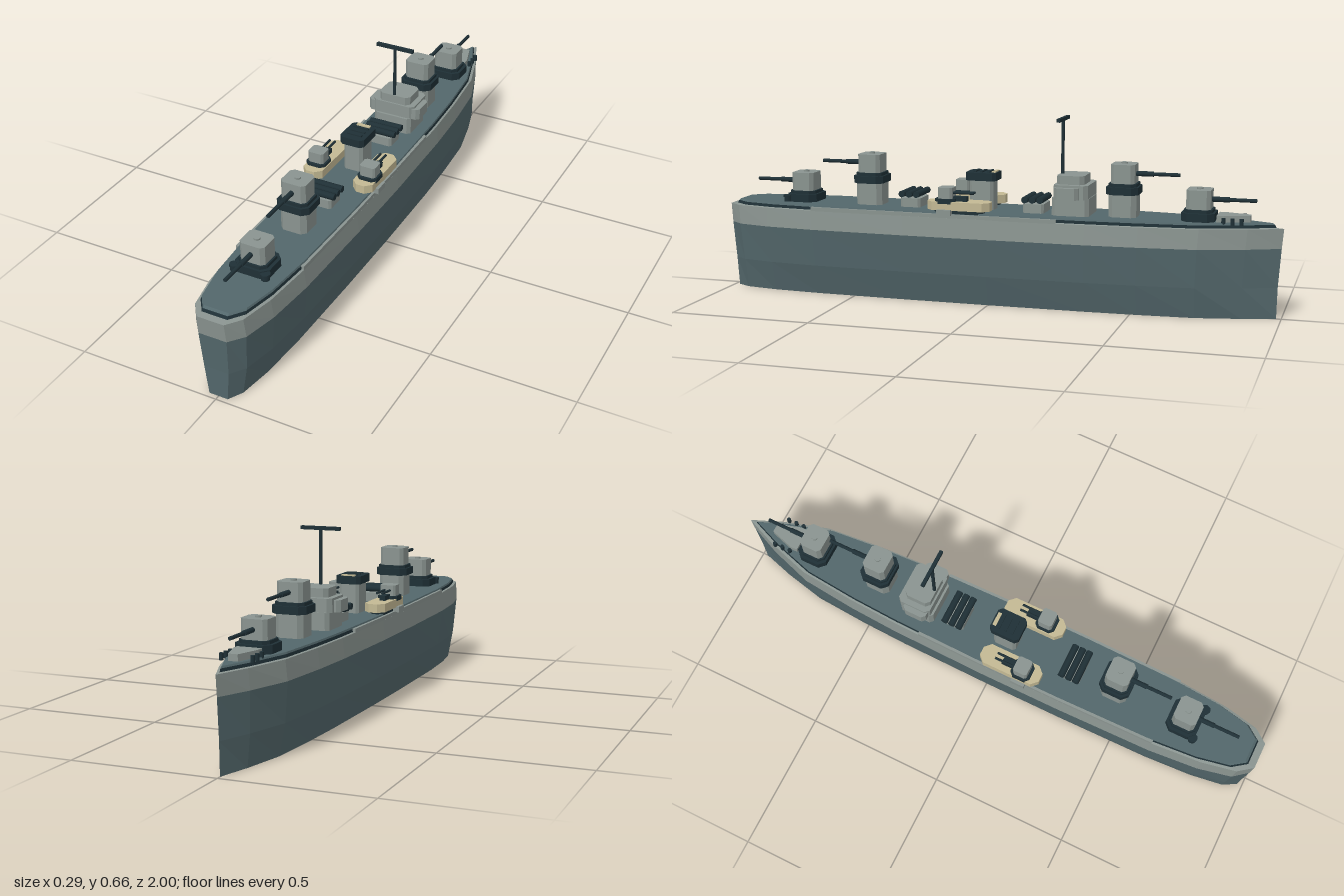
import * as THREE from 'three';

const mat = (name, color) => Object.assign(new THREE.MeshStandardMaterial({ color }), { name });

export function createModel() {
  const ship = new THREE.Group();
  ship.name = 'warship';
  const slate = mat('slate hull and deck', 0x53676b);
  const grey = mat('light grey', 0x8a9490);
  const dark = mat('dark blue grey', 0x1f3036);
  const cream = mat('cream', 0xc3b994);

  const add = (parent, name, geometry, material, x = 0, y = 0, z = 0) => {
    const m = new THREE.Mesh(geometry, material);
    m.name = name;
    m.position.set(x, y, z);
    parent.add(m);
    return m;
  };
  const group = (name, x, y, z) => {
    const g = new THREE.Group();
    g.name = name;
    g.position.set(x, y, z);
    ship.add(g);
    return g;
  };
  const box = (w, h, d) => new THREE.BoxGeometry(w, h, d);

  // Upright prism from an outline of [x, z] points, standing on y = 0
  const prism = (points, h) => {
    const shape = new THREE.Shape(points.map(([x, z]) => new THREE.Vector2(x, -z)));
    return new THREE.ExtrudeGeometry(shape, { depth: h, bevelEnabled: false }).rotateX(-Math.PI / 2);
  };
  // Rectangle with cut corners, given half width, half depth and cut
  const cutBlock = (w, d, c, h) => prism([
    [w, d - c], [w, -d + c], [w - c, -d], [-w + c, -d],
    [-w, -d + c], [-w, d - c], [-w + c, d], [w - c, d]], h);
  const rod = (r, length, sides = 8) => new THREE.CylinderGeometry(r, r, length, sides);

  // Hull plan from bow (-z) to stern (+z)
  const half = [[0.05, -0.885], [0.1, -0.73], [0.12, -0.53], [0.13, -0.35], [0.137, 0],
    [0.137, 0.3], [0.131, 0.65], [0.116, 0.83], [0.09, 0.95], [0.05, 1]];
  const plan = [[0, -1], ...half, ...half.map(([x, z]) => [-x, z]).reverse()];
  const ring = (y, sx, sz) => plan.map(([x, z]) => [x * sx, y, z * sz]);

  // Faceted skin between successive rings, with optional flat ends
  function loft(rings, bottom, top) {
    const v = [];
    const n = plan.length;
    const tri = (...p) => p.forEach(q => v.push(...q));
    for (let i = 0; i < n; i++) {
      const j = (i + 1) % n;
      for (let k = 0; k + 1 < rings.length; k++) {
        const lo = rings[k], hi = rings[k + 1];
        tri(lo[i], hi[i], hi[j]);
        tri(lo[i], hi[j], lo[j]);
      }
      const first = rings[0], last = rings[rings.length - 1];
      if (bottom) tri([0, first[0][1], 0], first[i], first[j]);
      if (top) tri([0, last[0][1], 0], last[j], last[i]);
    }
    const g = new THREE.BufferGeometry();
    g.setAttribute('position', new THREE.Float32BufferAttribute(v, 3));
    g.computeVertexNormals();
    return g;
  }

  const belt = ring(0.24, 1, 0.994);
  const rim = ring(0.308, 0.95, 1);
  const step = ring(0.31, 0.9, 0.975);
  const edge = ring(0.32, 0.885, 0.97);
  add(ship, 'lowerHull', loft([ring(0, 0.67, 0.983), ring(0.107, 0.88, 0.985), belt], true, false), slate);
  add(ship, 'upperHull', loft([belt, rim, step], false, false), grey);
  add(ship, 'deckEdge', loft([step, edge], false, false), dark);
  add(ship, 'deck', loft([edge, ring(0.326, 0.87, 0.962)], false, true), slate);

  // Low bulwarks along the deck edge
  for (const s of [-1, 1]) {
    const line = [[0.127, -0.25], [0.13, 0], [0.13, 0.3], [0.125, 0.65],
      [0.11, 0.65], [0.115, 0.3], [0.115, 0], [0.111, -0.25]];
    add(ship, 'bulwark', prism(line.map(([x, z]) => [s * x, z]), 0.014), grey, 0, 0.307, 0);
  }

  // Main gun turrets: a low and a raised one at each end, firing outward
  function turret(z, raised) {
    const t = group(raised ? 'raisedTurret' : 'lowTurret', 0, 0.322, z);
    if (z < 0) t.rotation.y = Math.PI;
    const y = raised ? 0.118 : 0.042;
    if (raised) {
      add(t, 'pedestal', cutBlock(0.048, 0.048, 0.016, 0.085), grey);
      add(t, 'ring', cutBlock(0.06, 0.055, 0.02, 0.026), dark, 0, 0.082, 0);
      add(t, 'collar', cutBlock(0.052, 0.048, 0.017, 0.012), dark, 0, 0.107, 0);
    } else {
      add(t, 'ring', cutBlock(0.063, 0.056, 0.022, 0.032), dark);
      add(t, 'collar', cutBlock(0.052, 0.048, 0.018, 0.012), dark, 0, 0.031, 0);
    }
    add(t, 'gunHouse', cutBlock(0.045, 0.041, 0.012, 0.066), grey, 0, y, 0);
    add(t, 'hatch', rod(0.011, 0.006), grey, 0, y + 0.069, 0);
    add(t, 'barrelSleeve', rod(0.009, 0.06).rotateX(Math.PI / 2), dark, 0, y + 0.033, 0.07);
    add(t, 'barrel', rod(0.0065, 0.1).rotateX(Math.PI / 2), dark, 0, y + 0.033, 0.14);
  }
  for (const s of [-1, 1]) {
    turret(s * 0.718, false);
    turret(s * 0.46, true);
  }

  // Bridge with overhanging wings
  const bridge = group('bridge', 0, 0.322, -0.285);
  add(bridge, 'bridgeBase', cutBlock(0.072, 0.065, 0.012, 0.065), grey);
  add(bridge, 'bridgeWings', cutBlock(0.1, 0.043, 0.012, 0.04), grey, 0, 0.063, 0.008);
  add(bridge, 'bridgeDeck', cutBlock(0.08, 0.06, 0.014, 0.048), grey, 0, 0.063, -0.003);
  add(bridge, 'bridgeTop', cutBlock(0.06, 0.048, 0.014, 0.032), grey, 0, 0.109, 0.002);

  // Mast and yard
  add(ship, 'mast', rod(0.006, 0.19), dark, 0, 0.556, -0.243);
  add(ship, 'yard', box(0.14, 0.012, 0.012), dark, 0, 0.651, -0.243);

  // Funnel with capped top and slats
  const funnel = group('funnel', 0, 0.322, 0.042);
  add(funnel, 'funnelBody', cutBlock(0.036, 0.043, 0.01, 0.115), grey);
  add(funnel, 'funnelCap', cutBlock(0.045, 0.055, 0.012, 0.028), dark, 0, 0.108, 0);
  for (const z of [-0.025, 0, 0.025])
    add(funnel, 'funnelSlat', box(0.055, 0.005, 0.009), dark, 0, 0.138, z);
  add(funnel, 'funnelVent', box(0.05, 0.006, 0.013), cream, 0, 0.137, -0.043);

  // Triple tube launchers lying across the deck
  for (const z of [0.3, -0.15]) {
    const l = group('tubeLauncher', 0, 0.322, z);
    add(l, 'launcherBase', cutBlock(0.05, 0.037, 0.008, 0.036), grey);
    for (const dz of [-0.027, 0, 0.027])
      add(l, 'tube', rod(0.012, 0.124).rotateZ(Math.PI / 2), dark, 0, 0.051, dz);
  }

  // Side gun platforms
  for (const s of [-1, 1]) {
    const p = group('sideGunPlatform', s * 0.096, 0.322, 0.1);
    add(p, 'platformSupport', cutBlock(0.026, 0.09, 0.018, 0.015), dark);
    add(p, 'platform', cutBlock(0.037, 0.113, 0.022, 0.03), cream, 0, 0.013, 0);
    add(p, 'gunRing', cutBlock(0.036, 0.036, 0.014, 0.017), dark, s * 0.003, 0.036, 0.045);
    add(p, 'sideGunHouse', cutBlock(0.029, 0.026, 0.007, 0.04), grey, s * 0.003, 0.051, 0.045);
    add(p, 'gunMount', box(0.022, 0.018, 0.05), dark, s * 0.003, 0.051, -0.005);
    for (const dx of [-0.01, 0.01])
      add(p, 'sideBarrel', rod(0.0045, 0.09).rotateX(Math.PI / 2), dark, s * 0.003 + dx, 0.073, -0.01);
    add(p, 'outerBracket', box(0.022, 0.02, 0.05), grey, s * 0.037, 0.006, 0.045);
  }

  // Foredeck house and mooring posts
  const winch = [[0.016, -0.065], [0.042, 0.02], [0.042, 0.045], [-0.042, 0.045], [-0.042, 0.02], [-0.016, -0.065]];
  add(ship, 'foredeckHouse', prism(winch, 0.026), grey, 0, 0.322, -0.825);
  for (const s of [-1, 1]) {
    for (const z of [-0.865, -0.835, -0.805])
      add(ship, 'bowPost', rod(0.007, 0.022), dark, s * 0.052, 0.332, z);
    add(ship, 'sternPost', rod(0.014, 0.022), dark, s * 0.056, 0.333, 0.768);
    add(ship, 'sternPostCap', rod(0.017, 0.008), dark, s * 0.056, 0.346, 0.768);
  }

  return ship;
}
